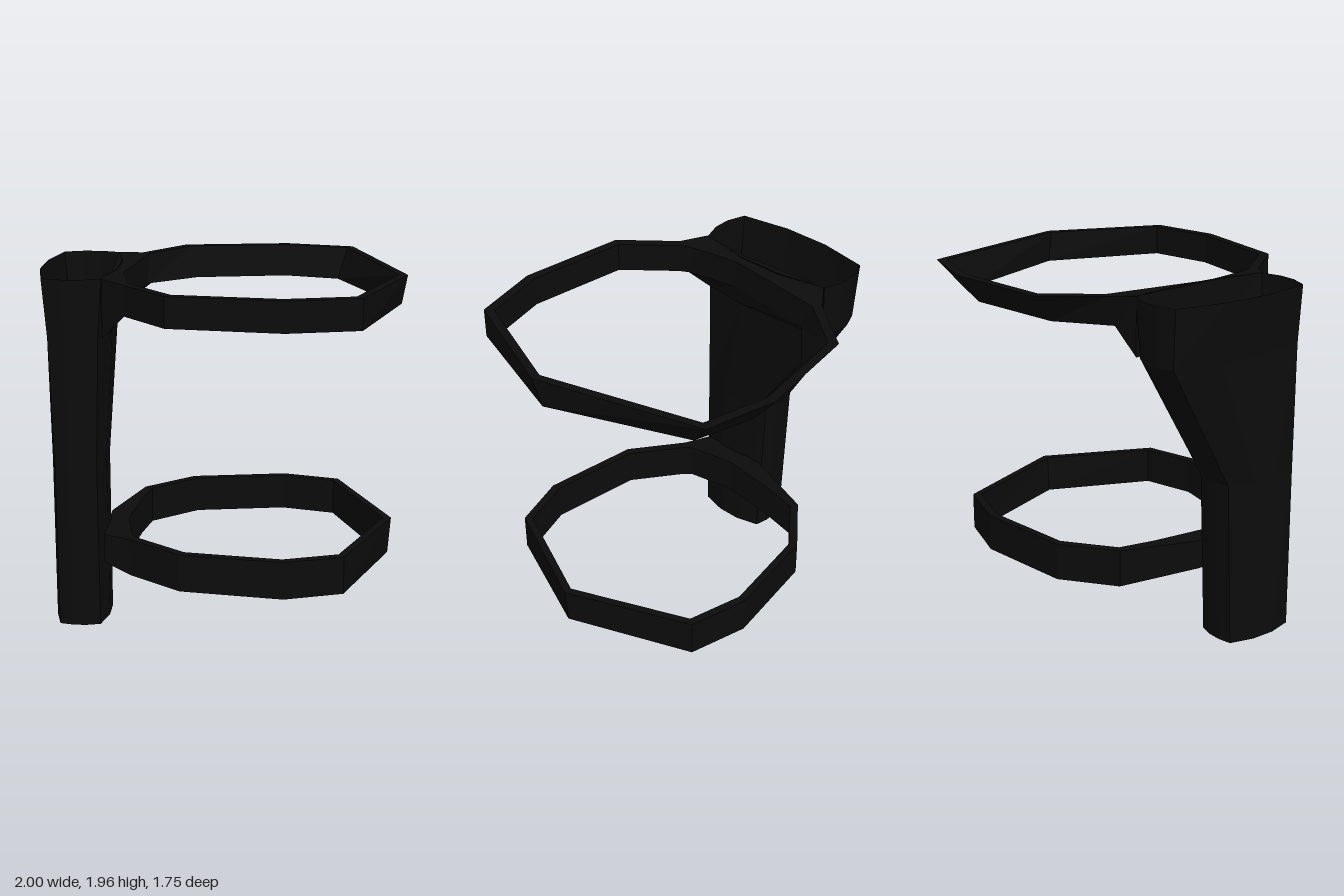
import * as THREE from 'three';

const black = new THREE.MeshStandardMaterial({ color: 0x0c0c0c, flatShading: true, side: THREE.DoubleSide });
black.name = 'matte black';

// Skin a loop of columns (running counterclockwise from above) with quads.
function loft(columns, closedSection) {
  const pos = [];
  const n = columns[0].length;
  columns.forEach((col, i) => {
    const next = columns[(i + 1) % columns.length];
    for (let j = 0; j < (closedSection ? n : n - 1); j++) {
      const k = (j + 1) % n;
      pos.push(...col[j], ...next[j], ...next[k], ...col[j], ...next[k], ...col[k]);
    }
  });
  return pos;
}

function makeMesh(name, pos) {
  const geo = new THREE.BufferGeometry();
  geo.setAttribute('position', new THREE.Float32BufferAttribute(pos, 3));
  geo.computeVertexNormals();
  const mesh = new THREE.Mesh(geo, black);
  mesh.name = name;
  return mesh;
}

// Open-topped sheath: twelve-sided section, flaring backwards near the mouth
function makeSheath() {
  const section = [
    [-0.24, 1], [0.24, 1], [0.76, 0.92], [1, 0.3], [1, -0.3], [0.76, -0.92],
    [0.24, -1], [-0.24, -1], [-0.76, -0.92], [-1, -0.3], [-1, 0.3], [-0.76, 0.92],
  ];
  // height, half width, back z
  const levels = [[0, 0.15, 0], [0.93, 0.15, -0.04], [1.64, 0.178, -0.45], [1.96, 0.21, -0.46]];
  const front = 0.45;
  const columns = section.map(([sx, sz]) => levels.map(([y, w, back]) =>
    [-0.79 + sx * w, y, (front + back) / 2 + sz * (front - back) / 2]));
  const pos = loft(columns, false);
  // floor
  columns.forEach((c, i) => pos.push(-0.79, 0, 0.225, ...columns[(i + 1) % columns.length][0], ...c[0]));
  return makeMesh('sheath', pos);
}

// Flat band; each row is top outer x,z and bottom outer x,z
function bandColumns(rows, yTop, yBottom) {
  const s = 0.94;
  const inset = (x, z) => [0.2 + (x - 0.2) * s, z * s];
  return rows.map(([tx, tz, bx = tx, bz = tz]) => {
    const [itx, itz] = inset(tx, tz);
    const [ibx, ibz] = inset(bx, bz);
    return [[bx, yBottom, bz], [tx, yTop, tz], [itx, yTop, itz], [ibx, yBottom, ibz]];
  });
}

// Collar row joining the sheath: outer x,z with its own heights, inner x,z at band height
function collar(x, z, y0, y1, ix, iz, yBottom, yTop) {
  return [[x, y0, z], [x, y1, z], [ix, yTop, iz], [ix, yBottom, iz]];
}

function makeUpperBand() {
  const top = 1.945, bottom = 1.78;
  const columns = bandColumns([
    [-0.5, 0.51], [-0.265, 0.79], [0.34, 0.875], [0.73, 0.79],
    [0.995, 0.14, 0.97, 0.1],
    [0.73, -0.78, 0.67, -0.65], [0.34, -0.88, 0.34, -0.75], [-0.27, -0.8, -0.22, -0.66],
    [-0.5, -0.51, -0.49, -0.45],
  ], top, bottom);
  columns.push(
    collar(-0.63, -0.42, 1.64, 1.96, -0.47, -0.39, bottom, top),
    collar(-0.6, 0.13, 1.64, 1.96, -0.54, 0.13, bottom, top),
    collar(-0.63, 0.42, 1.64, 1.96, -0.49, 0.42, bottom, top),
  );
  return makeMesh('upperStrap', loft(columns, true));
}

function makeLowerBand() {
  const top = 0.525, bottom = 0.315;
  const columns = bandColumns([
    [-0.5, 0.47], [-0.21, 0.69], [0.35, 0.775], [0.67, 0.68],
    [0.955, 0.05, 0.94, 0.05],
    [0.67, -0.64], [0.34, -0.73], [-0.22, -0.65], [-0.5, -0.43],
  ], top, bottom);
  columns.push(
    collar(-0.65, 0.0, 0.36, top, -0.5, -0.2, bottom, top),
    collar(-0.65, 0.13, 0.36, top, -0.54, 0.13, bottom, top),
    collar(-0.65, 0.4, 0.36, top, -0.49, 0.4, bottom, top),
  );
  return makeMesh('lowerStrap', loft(columns, true));
}

export function createModel() {
  const model = new THREE.Group();
  model.name = 'strappedSheath';
  model.add(makeSheath(), makeUpperBand(), makeLowerBand());
  return model;
}
